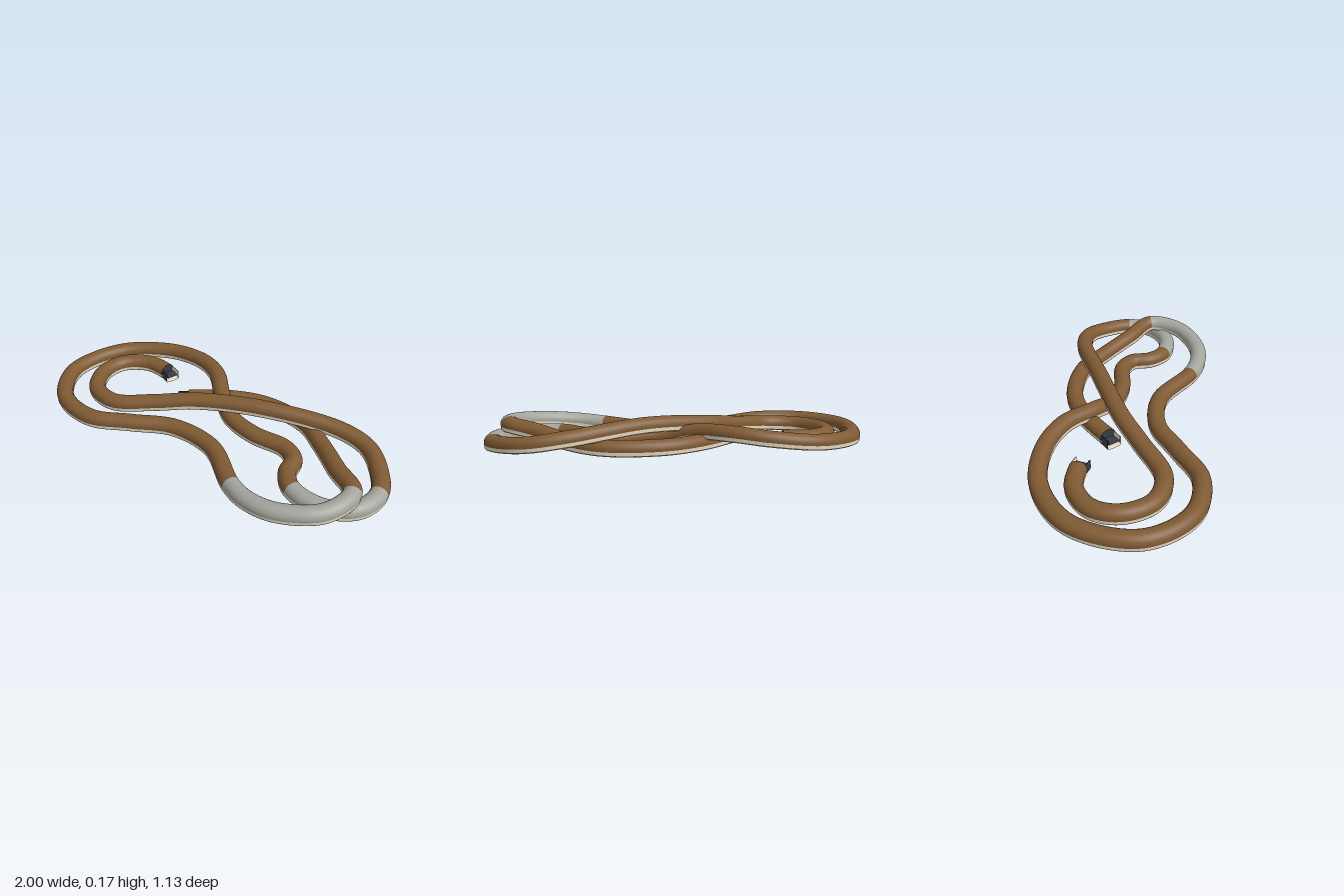
import * as THREE from 'three';

const mat = (name, color) => {
  const m = new THREE.MeshStandardMaterial({ color, side: THREE.DoubleSide });
  m.name = name;
  return m;
};

// Track centreline: x, z, height of the underside
const PATH = [
  [-0.395, -0.295, 0.004], [-0.445, -0.325, 0.004], [-0.585, -0.36, 0.002], [-0.73, -0.3, 0], [-0.785, -0.17, 0],
  [-0.735, -0.01, 0], [-0.575, 0.067, 0.005], [-0.345, 0.005, 0.03], [-0.13, -0.062, 0.062],
  [0.24, -0.12, 0.086], [0.655, -0.156, 0.056], [0.82, -0.105, 0.033], [0.912, 0.02, 0.014],
  [0.951, 0.17, 0.003], [0.885, 0.308, 0], [0.73, 0.366, 0], [0.565, 0.312, 0],
  [0.503, 0.215, 0], [0.5, 0.11, 0], [0.43, 0.04, 0], [0.245, 0.005, 0], [0.085, -0.065, 0.012],
  [-0.025, -0.185, 0.045], [-0.14, -0.36, 0.055], [-0.3, -0.475, 0.038], [-0.54, -0.52, 0.012],
  [-0.81, -0.41, 0], [-0.955, -0.115, 0], [-0.853, 0.136, 0], [-0.62, 0.238, 0],
  [-0.4, 0.185, 0], [-0.165, 0.125, 0], [0.08, 0.19, 0], [0.285, 0.41, 0.008],
  [0.405, 0.488, 0.02], [0.56, 0.517, 0.036], [0.762, 0.449, 0.056], [0.845, 0.285, 0.067],
  [0.73, 0.136, 0.045], [0.595, -0.05, 0.012], [0.46, -0.19, 0.002], [0.2, -0.27, 0],
  [-0.02, -0.235, 0], [-0.215, -0.145, 0], [-0.268, -0.12, 0],
];
const LAST = PATH.length - 1;
const curve = new THREE.CatmullRomCurve3(PATH.map(([x, z, y]) => new THREE.Vector3(x, y, z)));

// Cross-sections: sideways offset, height above the underside
const arc = (n, a0, a1, rx, ry, cy) => Array.from({ length: n + 1 }, (_, i) => {
  const a = a0 + (a1 - a0) * i / n;
  return [Math.cos(a) * rx, cy + Math.sin(a) * ry];
});
const ROOF = arc(18, -0.2, Math.PI + 0.2, 0.046, 0.044, 0.037);
const TROUGH = arc(12, Math.PI, 2 * Math.PI, 0.043, 0.009, 0.009);
const wall = (s) => [[s * 0.045, 0.0285], [s * 0.044, 0.012]];
const sill = (s) => [[s * 0.044, 0.012], [s * 0.043, 0.009]];
const FLOOR = [[-0.034, 0.03], [0.034, 0.03]];
const rail = (s) => [[s * 0.034, 0.03], [s * 0.034, 0.055], [s * 0.039, 0.055], [s * 0.041, 0.01]];

// Sideways frame at a path position, kept level
function station(k) {
  const t = THREE.MathUtils.clamp(k / LAST, 0, 1);
  const p = curve.getPoint(t);
  const d = curve.getTangent(t);
  const side = new THREE.Vector3(-d.z, 0, d.x).normalize();
  return ([u, v]) => [p.x + side.x * u, p.y + v, p.z + side.z * u];
}

function surface(pos, idx) {
  const g = new THREE.BufferGeometry();
  g.setAttribute('position', new THREE.Float32BufferAttribute(pos, 3));
  g.setIndex(idx);
  g.computeVertexNormals();
  return g;
}

// Sweeps an open cross-section between two path point numbers
function sweep(section, from, to) {
  const steps = Math.max(4, Math.round((to - from) * 10));
  const n = section.length;
  const pos = [], idx = [];
  for (let i = 0; i <= steps; i++) {
    const place = station(from + (to - from) * i / steps);
    for (const q of section) pos.push(...place(q));
  }
  for (let i = 0; i < steps; i++) {
    for (let j = 0; j < n - 1; j++) {
      const a = i * n + j, b = a + n;
      idx.push(a, a + 1, b, a + 1, b + 1, b);
    }
  }
  return surface(pos, idx);
}

// Fills the cross-section at one path point
function mouth(section, k) {
  const place = station(k);
  const pos = [...place([0, 0.035])];
  const idx = [];
  section.forEach((q) => pos.push(...place(q)));
  for (let i = 1; i <= section.length; i++) idx.push(0, i, i % section.length + 1);
  return surface(pos, idx);
}

export function createModel() {
  const brown = mat('brown roof', 0x7f5a33);
  const grey = mat('light grey roof', 0xa3a59d);
  const cream = mat('cream channel', 0xe8dcc6);
  const dark = mat('dark lane', 0x383c46);

  const group = new THREE.Group();
  group.name = 'windingTrack';
  const add = (name, geometry, material) => {
    const m = new THREE.Mesh(geometry, material);
    m.name = name;
    group.add(m);
  };

  // Covered roof, brown with two grey bends
  [[1, 13, brown], [13, 16, grey], [16, 33, brown], [33, 37, grey], [37, LAST - 1, brown]]
    .forEach(([a, b, m]) => add(m === grey ? 'greyBendRoof' : 'brownRoof', sweep(ROOF, a, b), m));

  // Cream channel below the roof, with a thin brown sill along its foot
  add('channelUnderside', sweep(TROUGH, 0, LAST), cream);
  for (const s of [-1, 1]) {
    add('channelWall', sweep(wall(s), 1, LAST - 1), cream);
    add('sill', sweep(sill(s), 1, LAST - 1), brown);
  }

  // Open lane ends: dark floor, one dark and one cream rail, dark tunnel mouth
  for (const [a, b, m, darkSide] of [[0, 1, 1, -1], [LAST - 1, LAST, LAST - 1, 1]]) {
    add('openLane', sweep(FLOOR, a, b), dark);
    add('darkRail', sweep(rail(darkSide), a, b), dark);
    add('creamRail', sweep(rail(-darkSide), a, b), cream);
    add('tunnelMouth', mouth(ROOF, m), dark);
  }
  return group;
}
